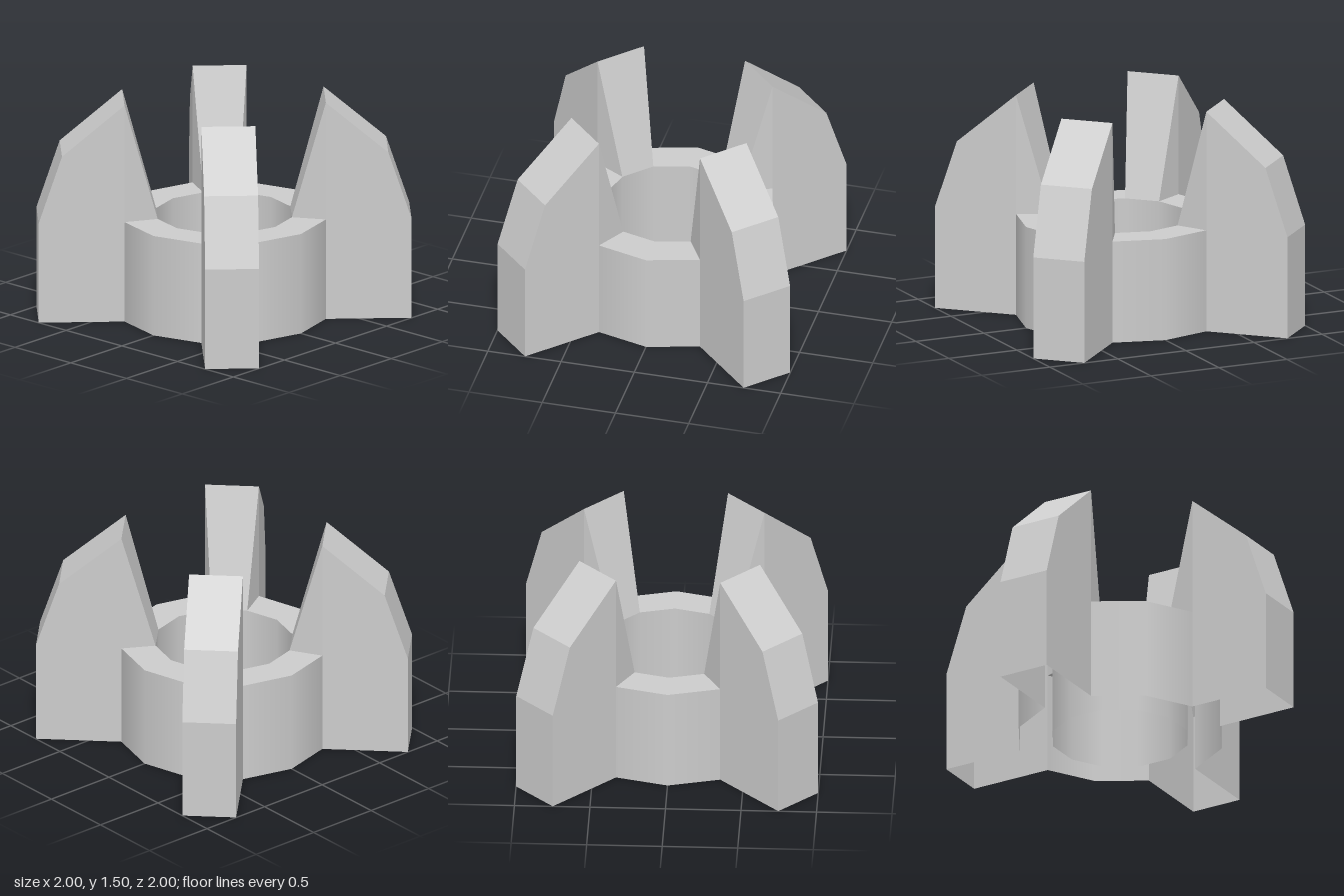
import * as THREE from 'three';

const R_OUT = 0.69, R_IN = 0.46, H = 0.69;
const C15 = Math.cos(Math.PI / 12), S15 = Math.sin(Math.PI / 12);

// Turned band between two profile points [radius, y]
function band(a, b, start, length, segments) {
  const pts = [new THREE.Vector2(...a), new THREE.Vector2(...b)];
  return new THREE.LatheGeometry(pts, segments, start, length);
}

// Fin pointing to +z, open underneath
function finGeometry() {
  const w = R_OUT * S15, root = R_OUT * C15;
  // Rows: [z, y, half width], from outer foot over the top to the inner slope
  const rows = [
    [1.234, 0, w], [1.234, H, w], [1.08, 1.15, w], [root, 1.5, w],
    [R_IN * C15, H, R_IN * S15],
  ];
  const pos = [];
  const pt = ([z, y, hw], side) => [hw * side, y, z];
  const tri = (a, b, c) => pos.push(...a, ...b, ...c);

  // Outer end, roof and inner slope
  for (let i = 0; i < 4; i++) {
    const l0 = pt(rows[i], -1), r0 = pt(rows[i], 1);
    const l1 = pt(rows[i + 1], -1), r1 = pt(rows[i + 1], 1);
    tri(l0, r0, r1);
    tri(l0, r1, l1);
  }
  // Mirrored cheeks: main panel as a fan, plus the wedge above the ring
  for (const s of [1, -1]) {
    const face = (a, b, c) => (s > 0
      ? tri(pt(a, s), pt(b, s), pt(c, s))
      : tri(pt(a, s), pt(c, s), pt(b, s)));
    for (let i = 0; i < 3; i++) face([root, 0, w], rows[i + 1], rows[i]);
    face([root, H, w], rows[4], rows[3]);
  }
  const g = new THREE.BufferGeometry();
  g.setAttribute('position', new THREE.Float32BufferAttribute(pos, 3));
  g.computeVertexNormals();
  return g;
}

export function createModel() {
  const model = new THREE.Group();
  model.name = 'finnedRing';
  const grey = new THREE.MeshStandardMaterial({ color: 0xcccccc, side: THREE.DoubleSide });
  grey.name = 'lightGrey';

  const add = (name, geometry, angle = 0) => {
    const mesh = new THREE.Mesh(geometry, grey);
    mesh.name = name;
    mesh.rotation.y = angle;
    model.add(mesh);
  };

  // Twelve-sided bore
  add('ringBore', band([R_IN, H], [R_IN, 0], 0, Math.PI * 2, 12));

  // Ring sections alternate with the four diagonal fins
  const wall = band([R_OUT, 0], [R_OUT, H], -Math.PI / 6, Math.PI / 3, 2);
  const rim = band([R_OUT, H], [R_IN, H], -Math.PI / 6, Math.PI / 3, 2);
  const fin = finGeometry();
  for (let k = 0; k < 4; k++) {
    const a = k * Math.PI / 2;
    add('ringWall', wall, a);
    add('ringRim', rim, a);
    add('fin', fin, a + Math.PI / 4);
  }
  return model;
}
